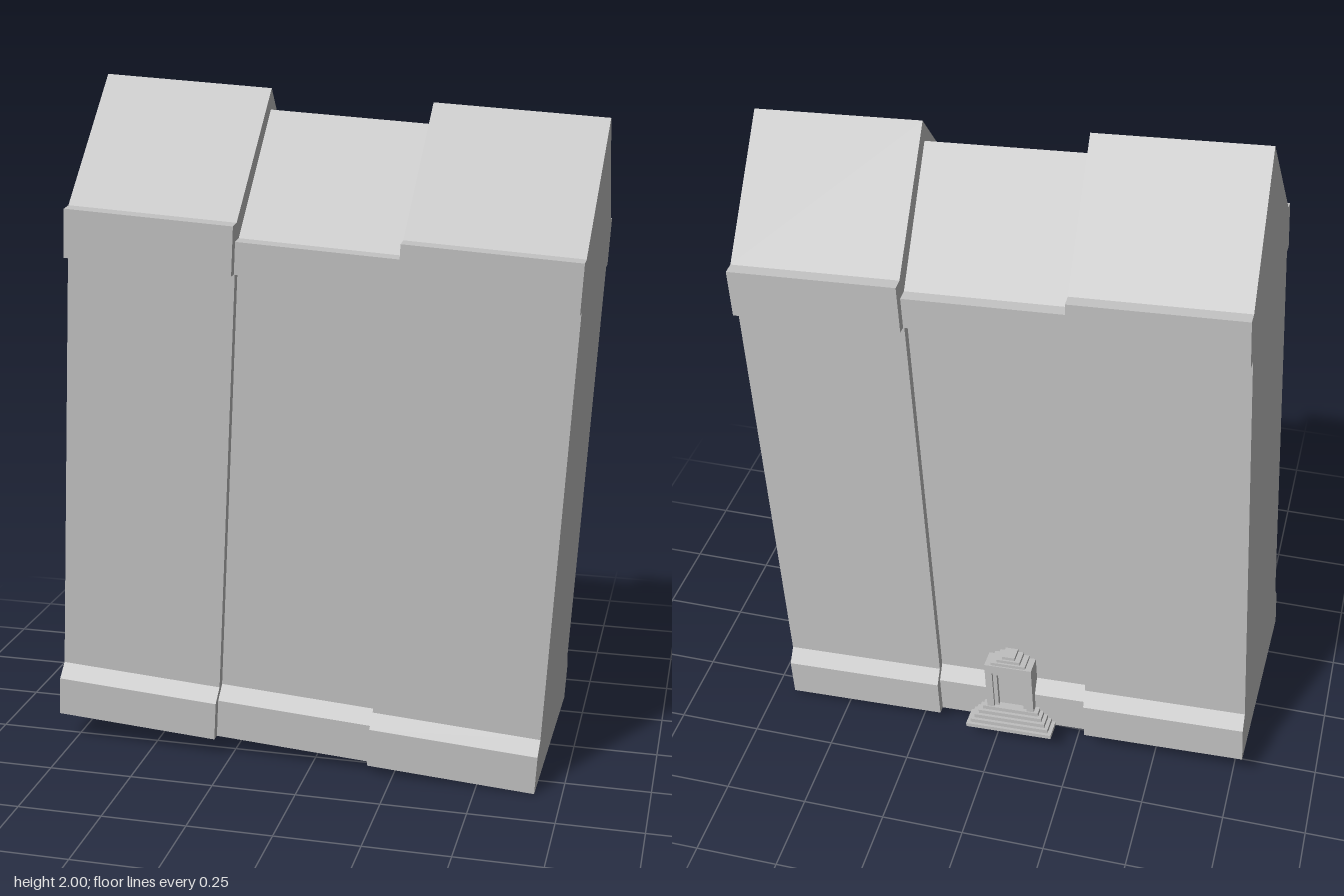
import * as THREE from 'three';

const stone = new THREE.MeshStandardMaterial({ color: 0xbfbfbf });
stone.name = 'pale grey stone';

// Cross-section of one bay: plinth, wall, cornice, eave ledge and gable.
// d is the half depth at plinth and cornice, the wall is set back from it.
function bay(name, x, width, d, eave, ridge) {
  const wall = d - 0.034;
  const half = [
    [d, 0], [d, 0.117], [wall, 0.157], [wall, 1.427],
    [d, 1.427], [d, eave], [wall, eave + 0.004],
  ];
  const outline = [
    ...half,
    [0, ridge],
    ...half.slice().reverse().map(([z, y]) => [-z, y]),
  ].map(([z, y]) => new THREE.Vector2(z, y));
  const geometry = new THREE.ExtrudeGeometry(new THREE.Shape(outline), { depth: width, bevelEnabled: false });
  geometry.translate(0, 0, -width / 2);
  geometry.rotateY(-Math.PI / 2);
  const mesh = new THREE.Mesh(geometry, stone);
  mesh.name = name;
  mesh.position.x = x;
  return mesh;
}

// Box standing on y, reaching from zBack out to zFront
function block(name, width, height, y, zFront, zBack) {
  const mesh = new THREE.Mesh(new THREE.BoxGeometry(width, height, zBack - zFront), stone);
  mesh.name = name;
  mesh.position.set(0, y + height / 2, (zFront + zBack) / 2);
  return mesh;
}

// Upright doorway arch: two jambs and a lintel
function doorFrame(name, width, opening, bottom, top, head, zFront, zBack) {
  const group = new THREE.Group();
  group.name = name;
  const jamb = (width - opening) / 2;
  for (const s of [-1, 1]) {
    const post = block('doorJamb', jamb, top - bottom, bottom, zFront, zBack);
    post.position.x = s * (opening + jamb) / 2;
    group.add(post);
  }
  group.add(block('doorLintel', opening, top - head, head, zFront, zBack));
  return group;
}

export function createModel() {
  const model = new THREE.Group();
  model.name = 'gabledBuilding';

  const building = new THREE.Group();
  building.name = 'building';
  model.add(building);

  // Taller outer bays and a recessed middle bay
  for (const s of [-1, 1]) {
    building.add(bay(s < 0 ? 'rightBay' : 'leftBay', s * 0.4845, 0.497, 0.33, 1.568, 1.908));
  }
  building.add(bay('middleBay', 0, 0.472, 0.305, 1.52, 1.847));

  // Entrance steps at the back
  const steps = 5;
  for (let i = 0; i < steps; i++) {
    building.add(block('entranceStep', 0.275 - i * 0.024, 0.013, i * 0.013, -0.37 + i * 0.009, -0.28));
  }

  // Doorway: outer frame, inner frame, door and stepped crown
  building.add(doorFrame('outerDoorFrame', 0.15, 0.105, 0.065, 0.235, 0.205, -0.331, -0.265));
  building.add(doorFrame('innerDoorFrame', 0.105, 0.08, 0.065, 0.205, 0.19, -0.322, -0.265));
  building.add(block('door', 0.08, 0.125, 0.065, -0.308, -0.265));
  for (let i = 0; i < 3; i++) {
    building.add(block('doorCrown', 0.11 - i * 0.035, 0.01, 0.235 + i * 0.01, -0.327 + i * 0.006, -0.265));
  }

  // The whole building leans slightly
  const xAxis = new THREE.Vector3(1, -0.06, 0.019).normalize();
  const yAxis = new THREE.Vector3(0.06, 1, 0.024);
  yAxis.addScaledVector(xAxis, -yAxis.dot(xAxis)).normalize();
  const zAxis = new THREE.Vector3().crossVectors(xAxis, yAxis);
  building.quaternion.setFromRotationMatrix(new THREE.Matrix4().makeBasis(xAxis, yAxis, zAxis));
  building.position.set(-0.054, 0.053, -0.005);

  return model;
}
